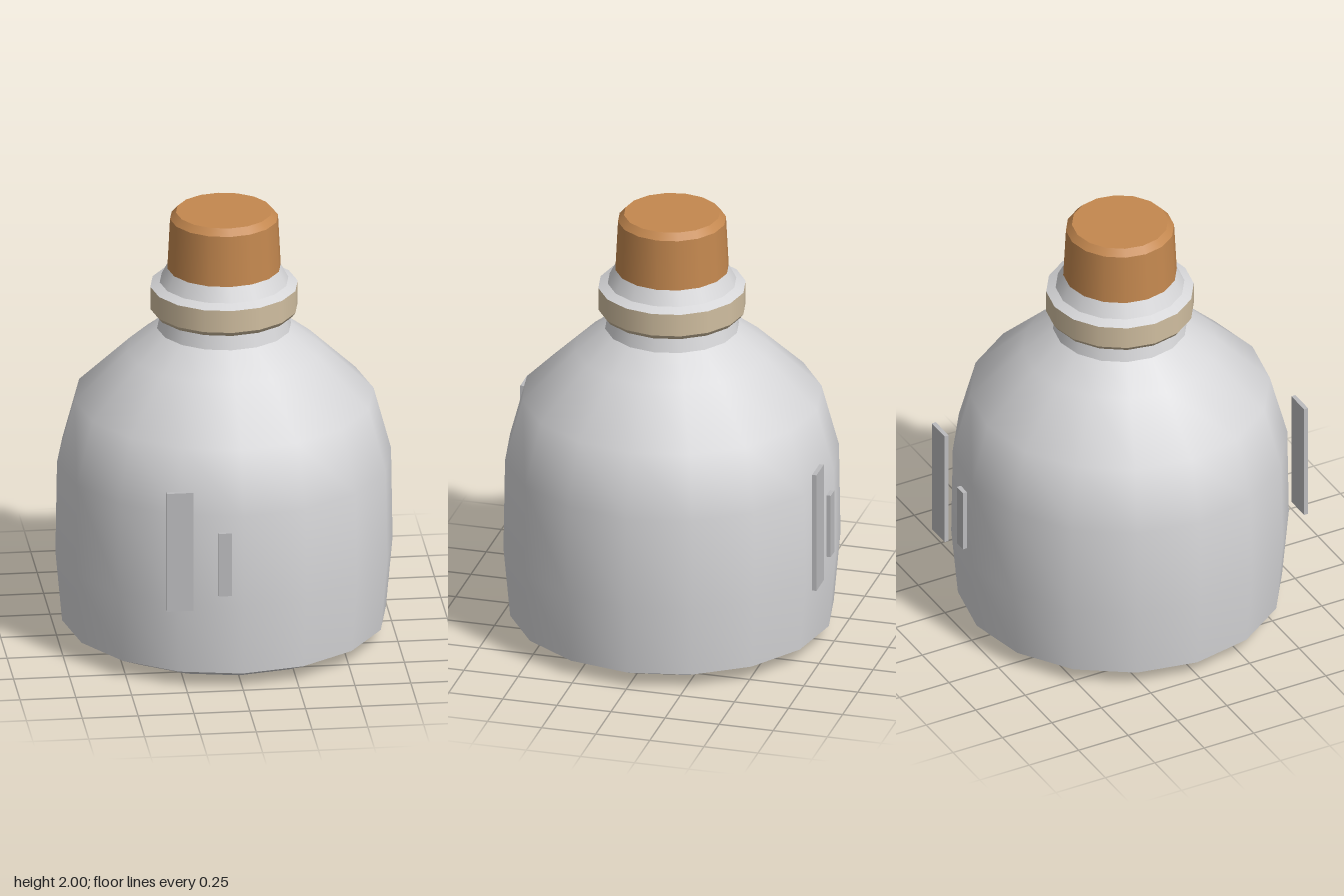
import * as THREE from 'three';

const SIDES = 16;

export function createModel() {
  const group = new THREE.Group();
  const material = (name, color) => {
    const m = new THREE.MeshStandardMaterial({ color });
    m.name = name;
    return m;
  };
  const glass = material('paleGrey', 0xd6d6d8);
  const plate = material('midGrey', 0xbcbcbe);
  const band = material('beige', 0xd0bea0);
  const cork = material('corkBrown', 0xc4884f);

  // One smooth band of revolution; separate bands meet at sharp edges.
  const lathe = (name, mat, points) => {
    const profile = points.map(([r, y]) => new THREE.Vector2(r, y));
    const mesh = new THREE.Mesh(new THREE.LatheGeometry(profile, SIDES), mat);
    mesh.name = name;
    group.add(mesh);
  };

  // Bottle body
  lathe('base', glass, [[0, 0], [0.54, 0.003], [0.6, 0.012], [0.725, 0.07]]);
  lathe('body', glass, [[0.725, 0.07], [0.755, 0.4], [0.748, 0.83], [0.67, 1.12], [0.435, 1.345], [0.3, 1.45]]);
  lathe('neck', glass, [[0.3, 1.45], [0.28, 1.53]]);

  // Neck ring with its pale upper face
  lathe('ringUnderside', band, [[0.28, 1.525], [0.315, 1.525], [0.33, 1.545]]);
  lathe('ring', band, [[0.33, 1.545], [0.33, 1.65]]);
  lathe('ringTop', glass, [[0.33, 1.65], [0.288, 1.67]]);
  lathe('collar', glass, [[0.288, 1.67], [0.254, 1.735]]);

  // Stopper
  lathe('stopperSide', cork, [[0.254, 1.735], [0.242, 1.97]]);
  lathe('stopperBevel', cork, [[0.242, 1.97], [0.215, 2]]);
  lathe('stopperTop', cork, [[0.215, 2], [0, 2]]);

  // Highlight plates, repeated on the back by a half turn
  for (const side of [1, -1]) {
    for (const [name, x, y, w, h] of [
      ['largePlate', -0.285, 0.68, 0.12, 0.565],
      ['smallPlate', -0.082, 0.61, 0.058, 0.3],
    ]) {
      const mesh = new THREE.Mesh(new THREE.BoxGeometry(w, h, 0.02), plate);
      mesh.name = name + (side > 0 ? 'Front' : 'Back');
      mesh.position.set(x * side, y, 0.755 * side);
      group.add(mesh);
    }
  }
  return group;
}
